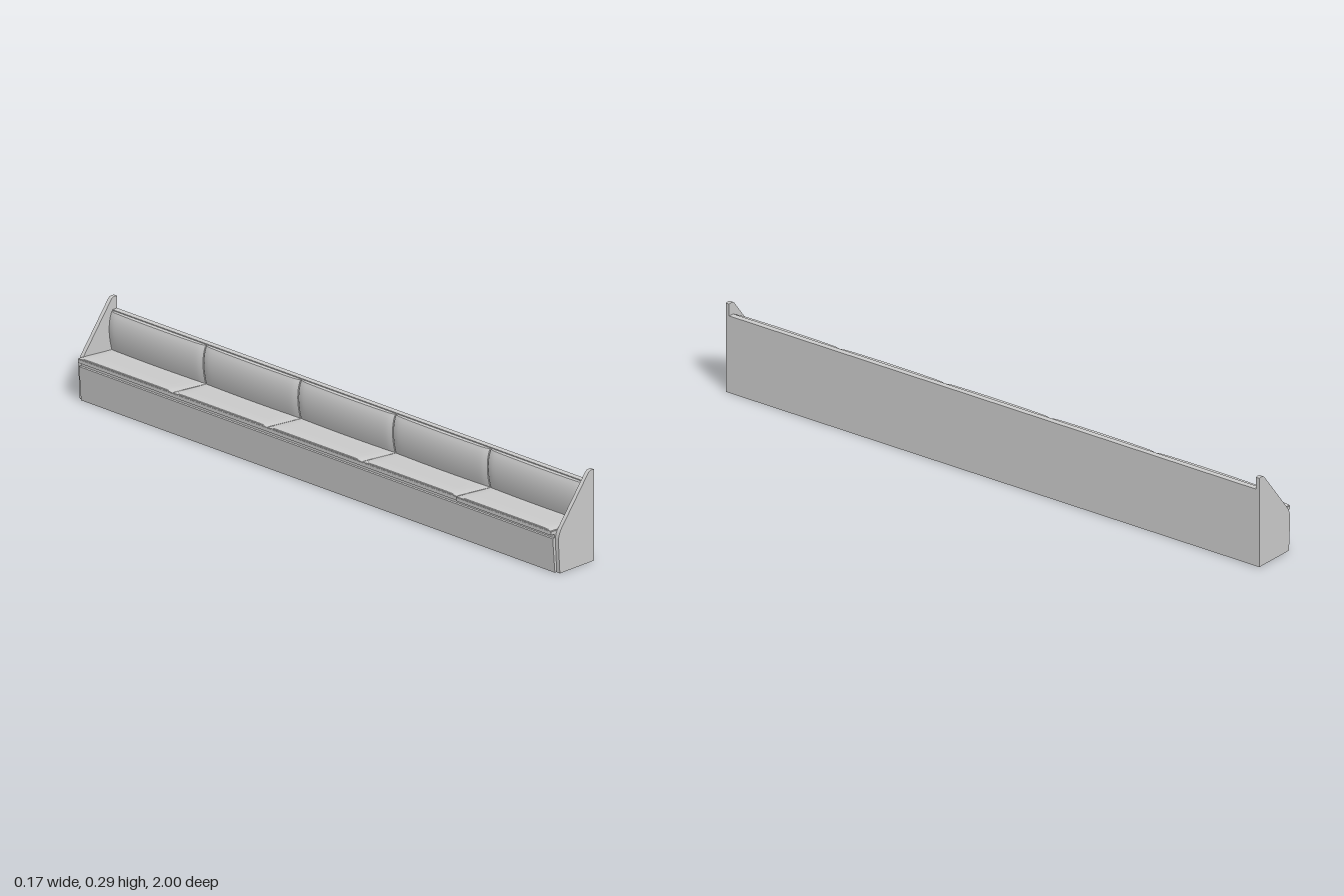
import * as THREE from 'three';
import { toCreasedNormals } from 'three/addons/utils/BufferGeometryUtils.js';

const material = new THREE.MeshStandardMaterial({ color: 0xcccccc });
const INNER = 0.987; // half length between the end panels
const SEATS = 5;
const PITCH = (2 * INNER) / SEATS;

// Extrudes an x-y shape along z from z0 to z1; rule(v, u) bends it, u runs -1..1 along z
function sweep(name, shape, z0, z1, steps = 1, rule = null) {
  const geo = new THREE.ExtrudeGeometry(shape, { depth: z1 - z0, steps, bevelEnabled: false, curveSegments: 10 });
  geo.translate(0, 0, z0);
  if (rule) {
    const p = geo.attributes.position;
    const v = new THREE.Vector3();
    for (let i = 0; i < p.count; i++) {
      v.fromBufferAttribute(p, i);
      rule(v, (2 * (v.z - z0)) / (z1 - z0) - 1);
      p.setXYZ(i, v.x, v.y, v.z);
    }
  }
  const mesh = new THREE.Mesh(toCreasedNormals(geo, 0.6), material);
  mesh.name = name;
  return mesh;
}

const polygon = (points) => new THREE.Shape(points.map(([x, y]) => new THREE.Vector2(x, y)));

export function createModel() {
  const model = new THREE.Group();
  model.name = 'bench';

  // End panels with a sloping front edge and rounded corners
  const end = new THREE.Shape();
  end.moveTo(-0.06, 0);
  end.lineTo(0.085, 0);
  end.lineTo(0.085, 0.292);
  end.quadraticCurveTo(0.068, 0.296, 0.061, 0.288);
  end.lineTo(-0.052, 0.144);
  end.quadraticCurveTo(-0.067, 0.125, -0.066, 0.1);
  end.closePath();
  model.add(sweep('endPanel', end, -1, -INNER), sweep('endPanel', end, INNER, 1));

  // Box base with a raked front and a recess under the seat
  const base = polygon([
    [-0.068, 0.001], [0.07, 0.001], [0.07, 0.118], [-0.069, 0.125], [-0.069, 0.112], [-0.077, 0.112],
  ]);
  model.add(sweep('base', base, -INNER, INNER));

  // Upright back board
  const board = polygon([[0.066, 0], [0.085, 0], [0.085, 0.253], [0.066, 0.253]]);
  model.add(sweep('backBoard', board, -INNER, INNER));

  // Back cushion section: lumbar bulge towards the sitter
  const back = new THREE.Shape();
  back.moveTo(0.066, 0.12);
  back.lineTo(0.066, 0.25);
  back.lineTo(0.052, 0.25);
  back.bezierCurveTo(0.038, 0.225, 0.034, 0.18, 0.054, 0.12);
  back.closePath();

  for (let i = 0; i < SEATS; i++) {
    const z0 = -INNER + i * PITCH;
    const z1 = z0 + PITCH;
    const front = i === SEATS - 1 ? -0.085 : -0.081;
    const seat = new THREE.Group();
    seat.name = 'seatPlace';

    // Seat board and the pad on it, softened towards the seams
    const tray = polygon([[front, 0.125], [0.06, 0.117], [0.06, 0.125], [front, 0.136]]);
    const pad = polygon([
      [front, 0.1365], [0.06, 0.125], [0.06, 0.13], [0.03, 0.132], [-0.03, 0.139], [-0.07, 0.143], [front + 0.002, 0.142], [front, 0.14],
    ]);
    seat.add(sweep('seatBoard', tray, z0, z1));
    seat.add(sweep('seatPad', pad, z0 + 0.001, z1 - 0.001, 32, (v, u) => {
      const bottom = 0.1365 - ((v.x - front) / (0.06 - front)) * 0.0115;
      v.y = bottom + (v.y - bottom) * (1 - 0.6 * u ** 16);
    }));

    // Back cushion, fuller in the middle and rounded off at the seams
    seat.add(sweep('backCushion', back, z0 + 0.002, z1 - 0.002, 32, (v, u) => {
      if (v.x < 0.065) v.x += 0.004 * u * u + 0.005 * u ** 20;
    }));
    model.add(seat);
  }
  return model;
}
